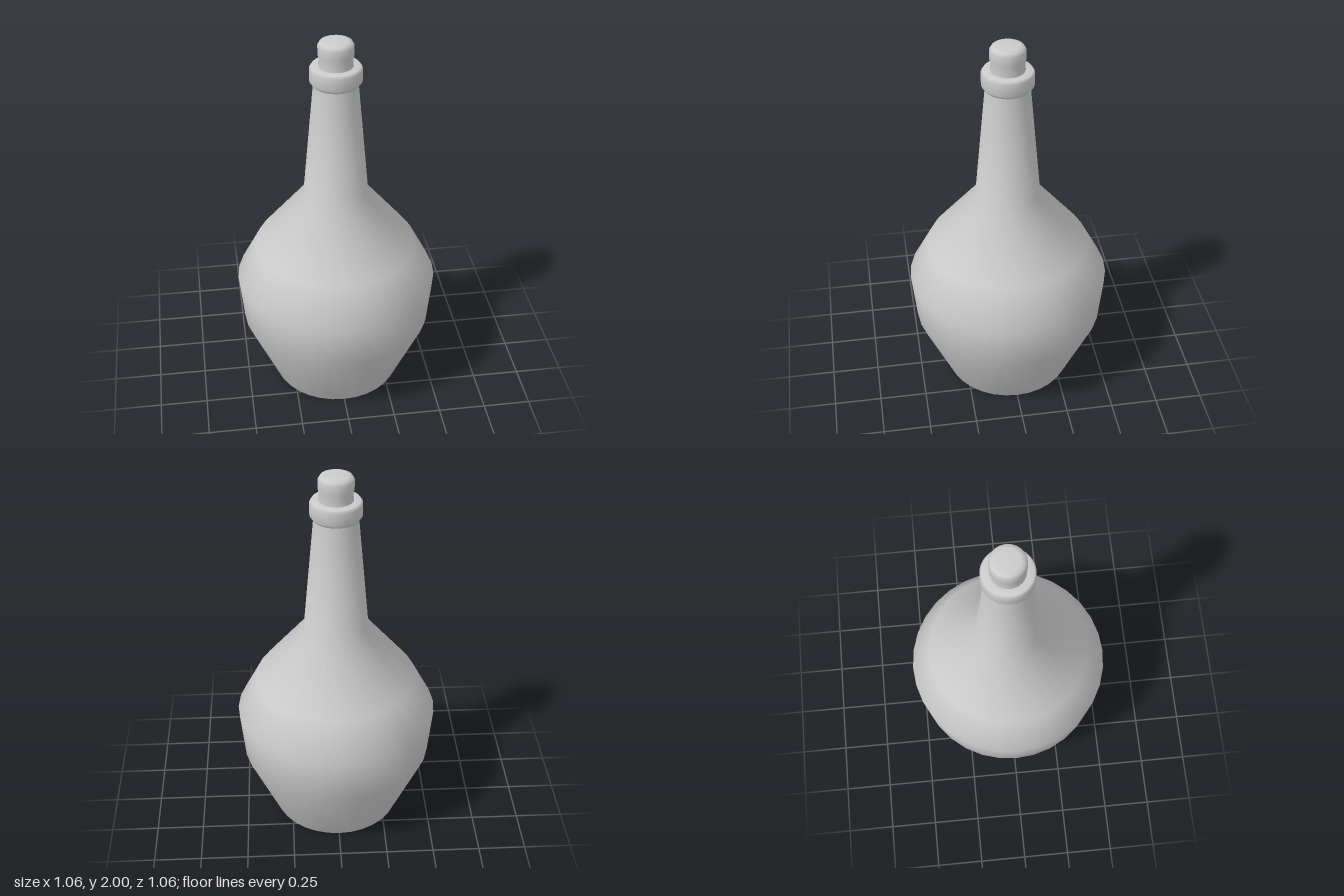
import * as THREE from 'three';

const SEGMENTS = 32;

// Turns a list of [radius, height] pairs into a smooth lathed mesh
function turned(name, profile, material) {
  const points = profile.map(([r, y]) => new THREE.Vector2(r, y));
  const mesh = new THREE.Mesh(new THREE.LatheGeometry(points, SEGMENTS), material);
  mesh.name = name;
  return mesh;
}

export function createModel() {
  const group = new THREE.Group();
  group.name = 'bottle';
  const material = new THREE.MeshStandardMaterial({ color: 0xcccccc, side: THREE.DoubleSide });

  // Hollow underside, faceted belly, sloping shoulder and long tapering neck
  group.add(turned('body', [
    [0, 0.12], [0.13, 0.1], [0.24, 0.05], [0.29, 0], [0.34, 0],
    [0.505, 0.38], [0.53, 0.637], [0.425, 0.838],
    [0.168, 1.156], [0.112, 1.78],
  ], material));

  // Thick ring around the mouth
  group.add(turned('lip', [
    [0.108, 1.765], [0.117, 1.77], [0.132, 1.79], [0.132, 1.853],
    [0.122, 1.868], [0.08, 1.868],
  ], material));

  // Stopper with a slight waist and rounded knob
  group.add(turned('stopper', [
    [0.088, 1.86], [0.084, 1.9], [0.09, 1.93], [0.09, 1.975],
    [0.08, 1.992], [0.06, 1.999], [0, 2],
  ], material));

  return group;
}
